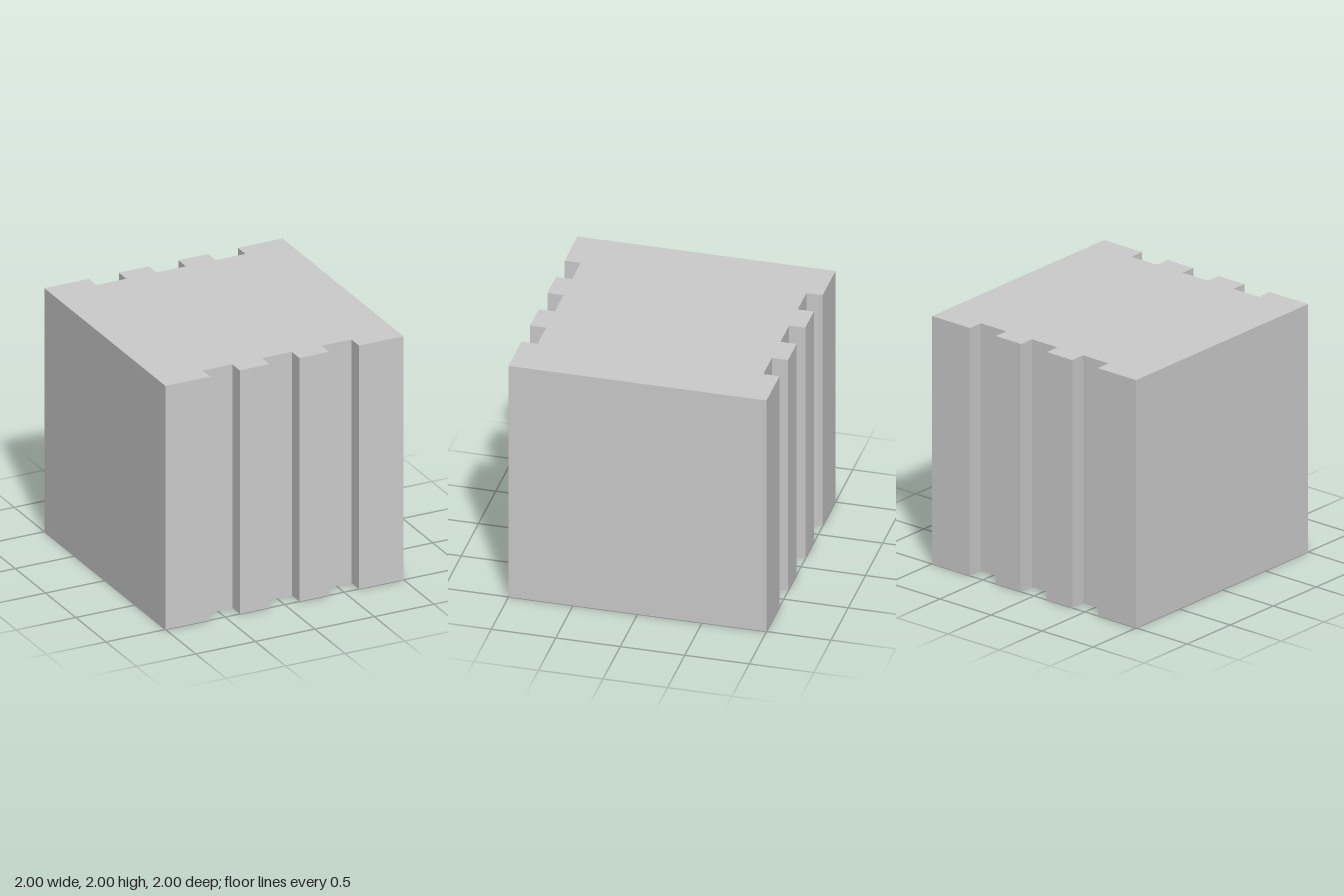
import * as THREE from 'three';

const GROOVE_CENTRES = [-0.5, 0, 0.5];
const GROOVE_HALF = 0.125;
const GROOVE_DEPTH = 0.125;

// One long edge of the plan, left to right, with its square notches
function notchedEdge() {
  const points = [[-1, -1]];
  for (const c of GROOVE_CENTRES) {
    const a = c - GROOVE_HALF, b = c + GROOVE_HALF, d = -1 + GROOVE_DEPTH;
    points.push([a, -1], [a, d], [b, d], [b, -1]);
  }
  points.push([1, -1]);
  return points;
}

export function createModel() {
  const group = new THREE.Group();
  group.name = 'groovedBlock';

  // Plan outline: the notched edge, then the same edge turned half a turn
  const edge = notchedEdge();
  const outline = [...edge, ...edge.map(([x, y]) => [-x, -y])];
  const shape = new THREE.Shape(outline.map(([x, y]) => new THREE.Vector2(x, y)));

  // Extruded straight up from the ground
  const geometry = new THREE.ExtrudeGeometry(shape, { depth: 2, bevelEnabled: false });
  geometry.rotateX(-Math.PI / 2);

  const block = new THREE.Mesh(
    geometry,
    new THREE.MeshStandardMaterial({ color: 0xcccccc, flatShading: true })
  );
  block.name = 'block';
  group.add(block);
  return group;
}
